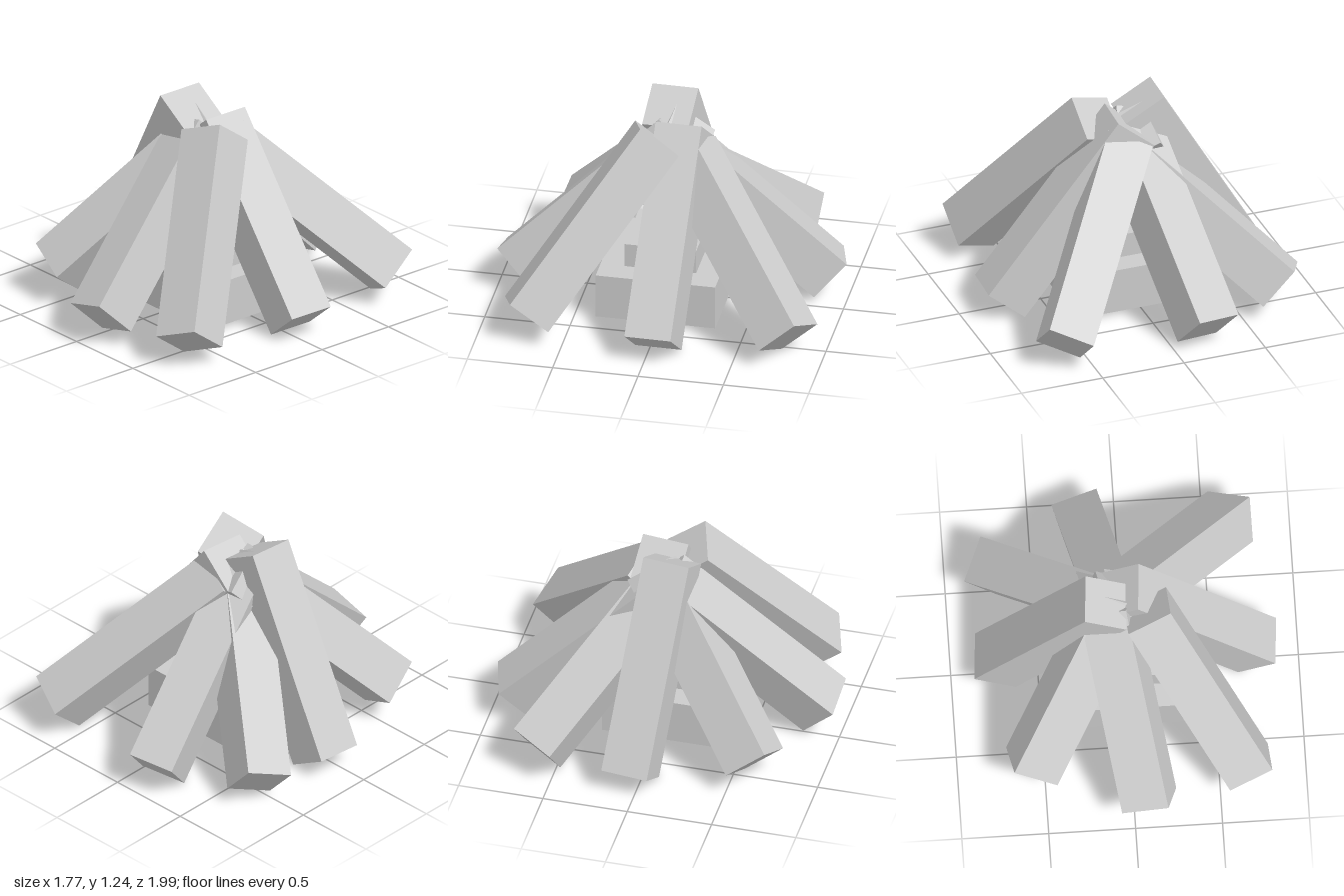
import * as THREE from 'three';

const LENGTH = 1.26;
const THICK = 0.275;

// Each log: two upper corners of its ground end, then the lower corner below the first.
const LOGS = {
  frontLog: [[-0.08, 0.21, 0.98], [0.19, 0.28, 0.99], [-0.02, 0.02, 0.79]],
  frontLeftLog: [[0.55, 0.18, 0.87], [0.8, 0.27, 0.79], [0.54, 0.02, 0.65]],
  leftLog: [[0.89, 0.19, -0.17], [0.87, 0.18, 0.1], [0.66, 0.005, -0.18]],
  backLeftLog: [[0.78, 0.31, -0.87], [0.54, 0.2, -0.96], [0.78, 0.12, -0.66]],
  backLog: [[-0.1, 0.24, -1.0], [-0.36, 0.21, -0.93], [-0.03, 0.04, -0.82]],
  backRightLog: [[-0.78, 0.3, -0.73], [-0.89, 0.22, -0.49], [-0.6, 0.1, -0.71]],
  rightLog: [[-0.87, 0.14, 0.08], [-0.85, 0.15, -0.19], [-0.63, 0.0, 0.09]],
  frontRightLog: [[-0.68, 0.31, 0.73], [-0.43, 0.19, 0.78], [-0.72, 0.15, 0.51]],
};

export function createModel() {
  const group = new THREE.Group();
  const material = new THREE.MeshStandardMaterial({ color: 0xcccccc, flatShading: true });

  function addBox(name, size, position) {
    const mesh = new THREE.Mesh(new THREE.BoxGeometry(...size), material);
    mesh.name = name;
    mesh.position.set(...position);
    group.add(mesh);
    return mesh;
  }

  // Stepped core in the middle of the pile
  addBox('coreBase', [0.7, 0.27, 0.7], [0.05, 0.155, 0.02]);
  addBox('coreTop', [0.42, 0.16, 0.42], [0.05, 0.355, 0.02]);

  // Leaning logs, squared up from the corners of their ground ends
  for (const [name, corners] of Object.entries(LOGS)) {
    const [a, b, c] = corners.map((p) => new THREE.Vector3(...p));
    const across = b.clone().sub(a).normalize();
    const axis = across.clone().cross(c.clone().sub(a)).normalize();
    if (axis.y < 0) axis.negate();
    const depth = across.clone().cross(axis);
    const centre = b.clone().add(c).multiplyScalar(0.5).addScaledVector(axis, LENGTH / 2);
    const log = addBox(name, [THICK, LENGTH, THICK], centre.toArray());
    log.quaternion.setFromRotationMatrix(new THREE.Matrix4().makeBasis(across, axis, depth));
  }
  return group;
}
